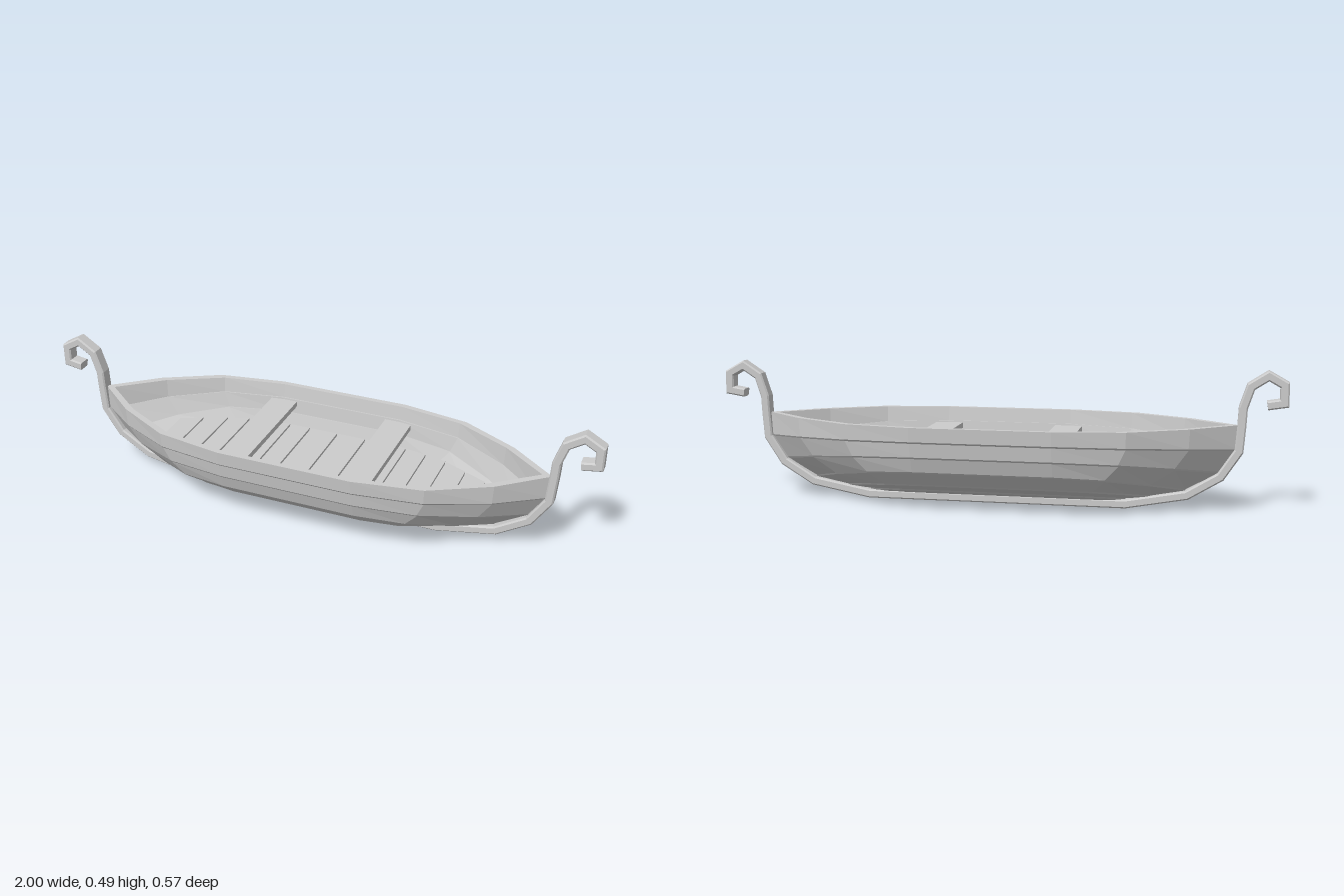
import * as THREE from 'three';

const mat = new THREE.MeshStandardMaterial({ color: 0xcccccc, flatShading: true, side: THREE.DoubleSide });

// Surface through rows of points; every row has the same number of points
function loft(rows) {
  const n = rows[0].length, index = [];
  for (let i = 0; i < rows.length - 1; i++) {
    for (let j = 0; j < n - 1; j++) {
      const a = i * n + j, b = a + 1, c = a + n, d = c + 1;
      index.push(a, b, c, b, d, c);
    }
  }
  const geo = new THREE.BufferGeometry().setFromPoints(rows.flat());
  geo.setIndex(index);
  geo.computeVertexNormals();
  return geo;
}

// Plank seams from gunwale to keel: x and y at the stem, z and y amidships
const seams = [
  [0.84, 0.30, 0.283, 0.30], [0.835, 0.215, 0.275, 0.248], [0.775, 0.135, 0.262, 0.194],
  [0.665, 0.07, 0.24, 0.14], [0.55, 0.043, 0.177, 0.085], [0.46, 0.03, 0.10, 0.052],
  [0.44, 0.02, 0, 0.02],
];
// Stations from stem to midship: share of the end length, share of the full beam
const stations = [[1, 0], [0.735, 0.47], [0.4, 0.857], [0, 1]];

// Closed ring of points along one seam, round both sides of the hull
function ring([sx, sy, mz, my], { scale = [1, 1], lift = 0, out = 0 } = {}) {
  const quarter = stations.map(([g, w]) => [0.24 + (sx - 0.24) * g, sy + (my - sy) * w + lift, mz * w + out]);
  const at = (q, mx, mirrorZ) => new THREE.Vector3(q[0] * mx * scale[0], q[1], q[2] * mirrorZ * scale[1]);
  const back = [...quarter].reverse();
  return [
    ...quarter.map(q => at(q, 1, 1)), ...back.map(q => at(q, -1, 1)),
    ...quarter.map(q => at(q, -1, -1)), ...back.map(q => at(q, 1, -1)),
  ];
}

function hullGeometry() {
  const inner = [], outer = [];
  seams.forEach((s, k) => {
    const lift = 0.002 * k, seam = k > 0 && k < seams.length - 1;
    inner.push(ring(s, { scale: [0.96, 0.93], lift }));
    // upper edge of the next plank stands proud inside
    if (seam) inner.push(ring(s, { scale: [0.96, 0.91], lift }));
    // lower edge of each plank overlaps outside
    if (seam) outer.push(ring(s, { out: 0.003, lift: 0.003 }), ring(s, { out: -0.002, lift: -0.003 }));
    else outer.push(ring(s));
  });
  return loft([...inner.reverse(), ...outer]);
}

// Chamfered bar swept along a path in the xy plane with mitred corners
function barGeometry(path, thick, width, bevel) {
  const t = thick / 2, w = width / 2;
  const section = [
    [t, w - bevel], [t - bevel, w], [bevel - t, w], [-t, w - bevel],
    [-t, bevel - w], [bevel - t, -w], [t - bevel, -w], [t, bevel - w], [t, w - bevel],
  ];
  const pts = path.map(p => new THREE.Vector2(...p));
  const normal = (a, b) => { const d = b.clone().sub(a).normalize(); return new THREE.Vector2(d.y, -d.x); };
  const rows = pts.map((p, i) => {
    const n0 = normal(pts[Math.max(i - 1, 0)], pts[Math.max(i, 1)]);
    const n1 = normal(pts[Math.min(i, pts.length - 2)], pts[Math.min(i + 1, pts.length - 1)]);
    const m = n0.clone().add(n1).normalize();
    m.divideScalar(m.dot(n0));
    return section.map(([u, v]) => new THREE.Vector3(p.x + m.x * u, p.y + m.y * u, v));
  });
  // close both ends
  const cap = row => {
    const c = row.slice(1).reduce((s, v) => s.add(v), new THREE.Vector3()).divideScalar(row.length - 1);
    return row.map(() => c.clone());
  };
  return loft([cap(rows[0]), ...rows, cap(rows[rows.length - 1])]);
}

// Half width of the floor at a distance from midship
const floorEdge = [[0, 0.226], [0.24, 0.226], [0.41, 0.196], [0.6, 0.105]];
function floorHalfWidth(x) {
  const i = Math.max(1, floorEdge.findIndex(p => p[0] >= x));
  const [x0, w0] = floorEdge[i - 1], [x1, w1] = floorEdge[i];
  return w0 + (w1 - w0) * (x - x0) / (x1 - x0);
}

export function createModel() {
  const boat = new THREE.Group();
  boat.name = 'rowingBoat';
  const add = (name, geo, parent = boat) => {
    const mesh = new THREE.Mesh(geo, mat);
    mesh.name = name;
    parent.add(mesh);
    return mesh;
  };

  add('hull', hullGeometry());

  // Keel that rises into a curled stem at each end
  const half = [
    [0.46, 0.015], [0.67, 0.054], [0.782, 0.122], [0.841, 0.212], [0.848, 0.30], [0.851, 0.36],
    [0.875, 0.433], [0.932, 0.470], [0.985, 0.440], [0.985, 0.379], [0.93, 0.370],
  ];
  const path = [...half.map(([x, y]) => [-x, y]).reverse(), ...half];
  add('keelAndStems', barGeometry(path, 0.03, 0.047, 0.005));

  // Floor planks across the hull, narrowing towards both ends
  const floor = new THREE.Group();
  floor.name = 'floor';
  boat.add(floor);
  const edges = [0, 0.11, 0.19, 0.27, 0.35, 0.43, 0.515, 0.598];
  for (const side of [1, -1]) {
    for (let i = 0; i < edges.length - 1; i++) {
      const a = edges[i] + 0.003, b = edges[i + 1] - 0.003;
      const wa = floorHalfWidth(a), wb = floorHalfWidth(b);
      const shape = new THREE.Shape([[a, wa], [b, wb], [b, -wb], [a, -wa]].map(([x, z]) => new THREE.Vector2(x * side, z)));
      const geo = new THREE.ExtrudeGeometry(shape, { depth: 0.01, bevelEnabled: false });
      add('floorPlank', geo.rotateX(-Math.PI / 2).translate(0, 0.147, 0), floor);
    }
  }

  // Two benches
  for (const x of [-0.225, 0.225]) {
    add('bench', new THREE.BoxGeometry(0.1, 0.02, 0.512)).position.set(x, 0.234, 0);
  }
  return boat;
}
